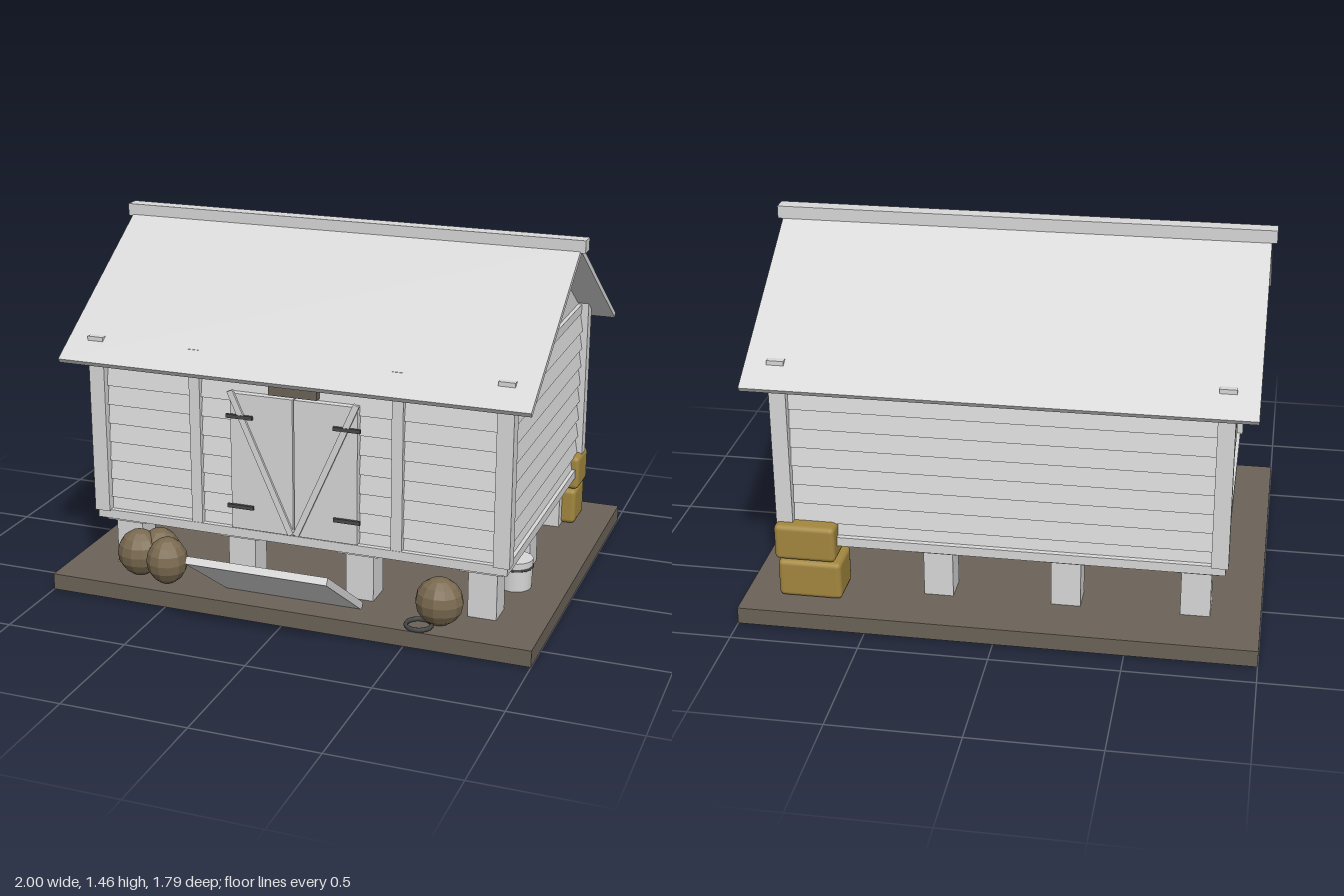
import * as THREE from 'three';
import { RoundedBoxGeometry } from 'three/addons/geometries/RoundedBoxGeometry.js';

const mat = (name, color) => {
  const m = new THREE.MeshStandardMaterial({ color });
  m.name = name;
  return m;
};

export function createModel() {
  const model = new THREE.Group();
  model.name = 'storehouse';
  const paleWood = mat('paleWood', 0xd8d8d8);
  const earth = mat('earth', 0x6b6358);
  const iron = mat('iron', 0x484848);
  const straw = mat('straw', 0xa3873f);
  const sackcloth = mat('sackcloth', 0x7a6a50);
  sackcloth.flatShading = true;
  const CZ = -0.12; // centre line of the house

  const add = (name, geo, material, x, y, z, parent = model) => {
    const m = new THREE.Mesh(geo, material);
    m.name = name;
    m.position.set(x, y, z);
    parent.add(m);
    return m;
  };
  const box = (name, w, h, d, x, y, z, material = paleWood, parent = model) =>
    add(name, new THREE.BoxGeometry(w, h, d), material, x, y, z, parent);
  // Cross-section drawn across the house, extruded along x
  const section = (name, pts, length) => {
    const shape = new THREE.Shape(pts.map(p => new THREE.Vector2(p[0], p[1])));
    const geo = new THREE.ExtrudeGeometry(shape, { depth: length, bevelEnabled: false });
    geo.translate(0, 0, -length / 2).rotateY(Math.PI / 2);
    return add(name, geo, paleWood, 0, 0, CZ);
  };

  // Ground slab
  box('groundSlab', 2, 0.067, 1.537, 0, 0.0335, -0.1265, earth);

  // Piers with caps
  for (const x of [-0.75, -0.25, 0.25, 0.75]) {
    for (const z of [0.38, CZ, -0.62]) {
      box('pier', 0.115, 0.2, 0.115, x, 0.167, z);
      box('pierCap', 0.17, 0.018, 0.17, x, 0.274, z);
    }
  }

  // Sill, wall core and corner posts
  box('sill', 1.72, 0.037, 1.23, 0, 0.302, CZ);
  box('wallCore', 1.64, 0.73, 1.14, 0, 0.675, CZ);
  for (const sx of [-1, 1]) {
    for (const sz of [-1, 1]) {
      box('cornerPost', 0.065, 0.735, 0.06, sx * 0.8375, 0.683, CZ + sz * 0.592);
    }
  }

  // Overlapping boards on the four walls, lower edges leaning outward
  const walls = [[0, 1.61, 0.582], [Math.PI, 1.61, 0.582], [Math.PI / 2, 1.13, 0.833], [-Math.PI / 2, 1.13, 0.833]];
  for (const [turn, length, offset] of walls) {
    const wall = new THREE.Group();
    wall.name = 'boardWall';
    wall.position.z = CZ;
    wall.rotation.y = turn;
    model.add(wall);
    for (let i = 0; i < 9; i++) {
      const board = box('wallBoard', length, 0.086, 0.018, 0, 0.333 + i * 0.079, offset, paleWood, wall);
      board.rotation.x = -0.17;
    }
    box('topBoard', length, 0.04, 0.02, 0, 1.02, offset - 0.002, paleWood, wall);
  }

  // Gable ends, attic hatch, roof and ridge beam
  section('gable', [[-0.57, 1.038], [0.57, 1.038], [0, 1.4]], 1.65);
  box('atticHatch', 0.04, 0.092, 0.15, 0.84, 1.188, -0.125);
  const slope = 0.635, eave = 0.715, top = 1.428, t = 0.027;
  section('roof', [
    [-eave, top - eave * slope], [-eave + 0.013, top - eave * slope - 0.018],
    [0, top - t], [eave - 0.013, top - eave * slope - 0.018],
    [eave, top - eave * slope], [0, top],
  ], 1.91);
  box('ridgeBeam', 1.95, 0.05, 0.064, 0, 1.43, -0.124);

  // Front battens and lintel plate
  for (const s of [-1, 1]) box('batten', 0.045, 0.72, 0.05, s * 0.418, 0.68, 0.468);
  box('lintelPlate', 0.2, 0.08, 0.03, 0, 0.935, 0.492, earth);

  // Double door with braces and strap hinges
  for (const s of [-1, 1]) {
    box('doorLeaf', 0.259, 0.56, 0.04, s * 0.1325, 0.605, 0.482);
    const dx = 0.25, dy = 0.565;
    const brace = box('doorBrace', 0.025, Math.hypot(dx, dy), 0.012, s * 0.135, 0.613, 0.506);
    brace.rotation.z = -s * Math.atan2(dx, dy);
    for (const y of [0.42, 0.793]) box('strapHinge', 0.11, 0.015, 0.012, s * 0.222, y, 0.508, iron);
  }

  // Tilted loading board
  const ramp = box('ramp', 0.57, 0.03, 0.47, 0, 0.204, 0.694);
  ramp.rotation.x = -0.604;

  // Sacks
  for (const [x, z, r] of [[-0.67, 0.51, 0.093], [-0.53, 0.55, 0.084], [-0.6, 0.47, 0.085], [0.61, 0.54, 0.095]]) {
    const sack = add('sack', new THREE.SphereGeometry(r, 12, 8), sackcloth, x, 0.162, z);
    sack.scale.set(1, 0.096 / r, 0.084 / r);
  }

  // Rope coil lying beside the sack
  const coil = add('ropeCoil', new THREE.TorusGeometry(0.05, 0.009, 6, 20), iron, 0.545, 0.076, 0.59);
  coil.rotation.x = Math.PI / 2;

  // Bucket with hoop
  add('bucket', new THREE.CylinderGeometry(0.07, 0.066, 0.123, 18), paleWood, 0.79, 0.128, 0.095);
  const hoop = add('bucketHoop', new THREE.TorusGeometry(0.069, 0.005, 6, 18), iron, 0.79, 0.158, 0.095);
  hoop.rotation.x = Math.PI / 2;

  // Stacked straw bales
  add('lowerBale', new RoundedBoxGeometry(0.25, 0.157, 0.17, 2, 0.02), straw, 0.74, 0.146, -0.695);
  add('upperBale', new RoundedBoxGeometry(0.24, 0.148, 0.17, 2, 0.02), straw, 0.755, 0.302, -0.695);

  return model;
}
